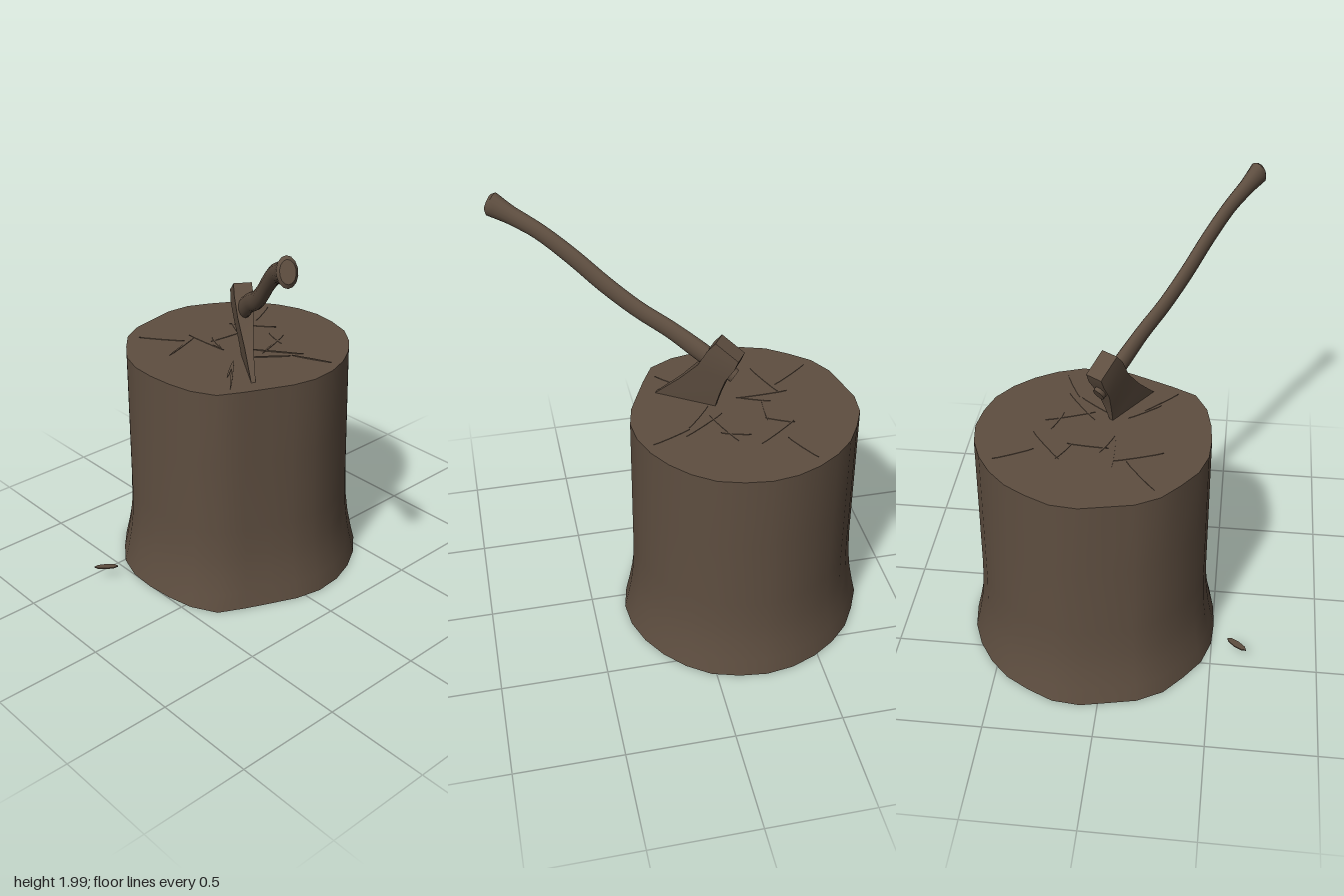
import * as THREE from 'three';
import { toCreasedNormals } from 'three/addons/utils/BufferGeometryUtils.js';

const wood = new THREE.MeshStandardMaterial({ color: 0x5e4e40, side: THREE.DoubleSide });
wood.name = 'dark wood';

// Skins closed rings of points; rings run counterclockwise seen from the last one
function loft(rings, capStart, capEnd, crease) {
  const pos = [];
  const tri = (...points) => points.forEach((p) => pos.push(p.x, p.y, p.z));
  const n = rings[0].length;
  const middle = (ring) => ring.reduce((s, p) => s.add(p), new THREE.Vector3()).divideScalar(n);
  const first = rings[0], last = rings[rings.length - 1];
  const c0 = middle(first), c1 = middle(last);
  for (let j = 0; j < n; j++) {
    const k = (j + 1) % n;
    for (let i = 0; i < rings.length - 1; i++) {
      const a = rings[i], b = rings[i + 1];
      tri(a[j], a[k], b[k]);
      tri(a[j], b[k], b[j]);
    }
    if (capStart) tri(c0, first[k], first[j]);
    if (capEnd) tri(c1, last[j], last[k]);
  }
  const geometry = new THREE.BufferGeometry();
  geometry.setAttribute('position', new THREE.Float32BufferAttribute(pos, 3));
  return toCreasedNormals(geometry, crease);
}

function add(parent, name, geometry) {
  const mesh = new THREE.Mesh(geometry, wood);
  mesh.name = name;
  parent.add(mesh);
  return mesh;
}

// Uneven round stump: flared foot, flat top, open underneath
function makeStump() {
  const radii = [0.58, 0.567, 0.557, 0.575, 0.617, 0.607, 0.589, 0.585, 0.593, 0.596,
    0.588, 0.598, 0.592, 0.576, 0.589, 0.591, 0.578, 0.58, 0.578, 0.58,
    0.585, 0.589, 0.588, 0.594, 0.588, 0.583, 0.582, 0.583];
  const profile = [[0, 1], [0.08, 0.968], [0.17, 0.938], [0.27, 0.917], [0.4, 0.908], [0.75, 0.905], [1.115, 0.902]];
  const rings = profile.map(([y, scale]) => radii.map((_, k) => {
    const i = (radii.length - k) % radii.length;
    const a = (i / radii.length) * Math.PI * 2;
    return new THREE.Vector3(-0.235 + Math.cos(a) * radii[i] * scale, y, -0.08 + Math.sin(a) * radii[i] * scale);
  }));
  return loft(rings, false, true, 0.9);
}

// Thin pointed-oval plate between two points on the ground plan
function sliver(parent, name, [x0, z0, x1, z1], y, width) {
  const mesh = add(parent, name, new THREE.CylinderGeometry(1, 1, 0.006, 8));
  mesh.scale.set(Math.hypot(x1 - x0, z1 - z0) / 2, 1, width / 2);
  mesh.position.set((x0 + x1) / 2, y, (z0 + z1) / 2);
  mesh.rotation.y = -Math.atan2(z1 - z0, x1 - x0);
}

// Axe head: back x, back y, front x, front y, half thickness from poll to edge
function makeHead() {
  const sections = [
    [-0.146, 1.4, -0.037, 1.472, 0.042],
    [-0.127, 1.352, 0.0, 1.426, 0.044],
    [-0.083, 1.28, 0.05, 1.336, 0.036],
    [-0.05, 1.19, 0.146, 1.23, 0.02],
    [-0.028, 1.115, 0.27, 1.115, 0.01],
    [-0.02, 1.07, 0.3, 1.07, 0.003],
  ];
  return loft(sections.map(([bx, by, fx, fy, t]) => [
    new THREE.Vector3(fx, fy, t), new THREE.Vector3(bx, by, t),
    new THREE.Vector3(bx, by, -t), new THREE.Vector3(fx, fy, -t),
  ]), true, true, 0.7);
}

// Curved handle with an oval section: x, y, half height, half width
function makeHandle() {
  const stations = [
    [-0.115, 1.295, 0.036, 0.026], [0.04, 1.384, 0.048, 0.03], [0.19, 1.469, 0.044, 0.027],
    [0.35, 1.543, 0.043, 0.026], [0.508, 1.638, 0.044, 0.026], [0.665, 1.749, 0.043, 0.026],
    [0.823, 1.844, 0.041, 0.027], [0.95, 1.896, 0.045, 0.031], [1.05, 1.936, 0.061, 0.041],
  ];
  const path = new THREE.CatmullRomCurve3(stations.map(([x, y]) => new THREE.Vector3(x, y, 0)));
  const size = new THREE.CatmullRomCurve3(stations.map(([, , h, w]) => new THREE.Vector3(h, w, 0)));
  const ring = (t, shrink, push) => {
    const p = path.getPoint(t), s = size.getPoint(t), d = path.getTangent(t);
    return Array.from({ length: 14 }, (_, j) => {
      const a = (j / 14) * Math.PI * 2;
      const h = Math.cos(a) * s.x * shrink;
      return new THREE.Vector3(p.x - d.y * h + d.x * push, p.y + d.x * h + d.y * push, Math.sin(a) * s.y * shrink);
    });
  };
  const rings = [];
  for (let i = 0; i <= 32; i++) rings.push(ring(i / 32, 1, 0));
  rings.push(ring(1, 0.75, 0.015));
  return loft(rings, true, true, 0.8);
}

export function createModel() {
  const model = new THREE.Group();
  model.name = 'axe in chopping block';
  add(model, 'stump', makeStump());

  // Chop marks on the top face
  const marks = new THREE.Group();
  marks.name = 'chopMarks';
  model.add(marks);
  [
    [-0.47, -0.49, -0.38, -0.325], [-0.255, -0.345, -0.44, -0.205], [-0.44, -0.22, -0.32, -0.16],
    [-0.325, -0.185, -0.34, 0], [-0.16, -0.305, -0.075, -0.09], [-0.225, -0.27, -0.095, -0.23],
    [0.06, -0.225, -0.135, -0.085], [0.215, -0.255, 0.035, -0.175], [0.035, -0.165, -0.085, -0.015],
    [-0.47, 0.03, -0.225, 0.02], [-0.375, -0.035, -0.24, 0.02], [-0.43, 0.09, -0.61, 0.225],
    [-0.43, 0.03, -0.35, 0.245], [-0.105, 0.065, 0.11, 0.275], [-0.105, 0.065, 0.01, 0.205],
  ].forEach((mark) => sliver(marks, 'chopMark', mark, 1.115, 0.01));

  // Loose chip beside the stump
  sliver(model, 'woodChip', [-0.463, 0.665, -0.393, 0.575], 0.07, 0.036);

  // Axe stuck in the top, turned toward the front left
  const axe = new THREE.Group();
  axe.name = 'axe';
  axe.position.set(-0.1, 0, 0.003);
  axe.rotation.y = -0.579;
  add(axe, 'axeHead', makeHead());
  add(axe, 'axeHandle', makeHandle());
  model.add(axe);
  return model;
}
